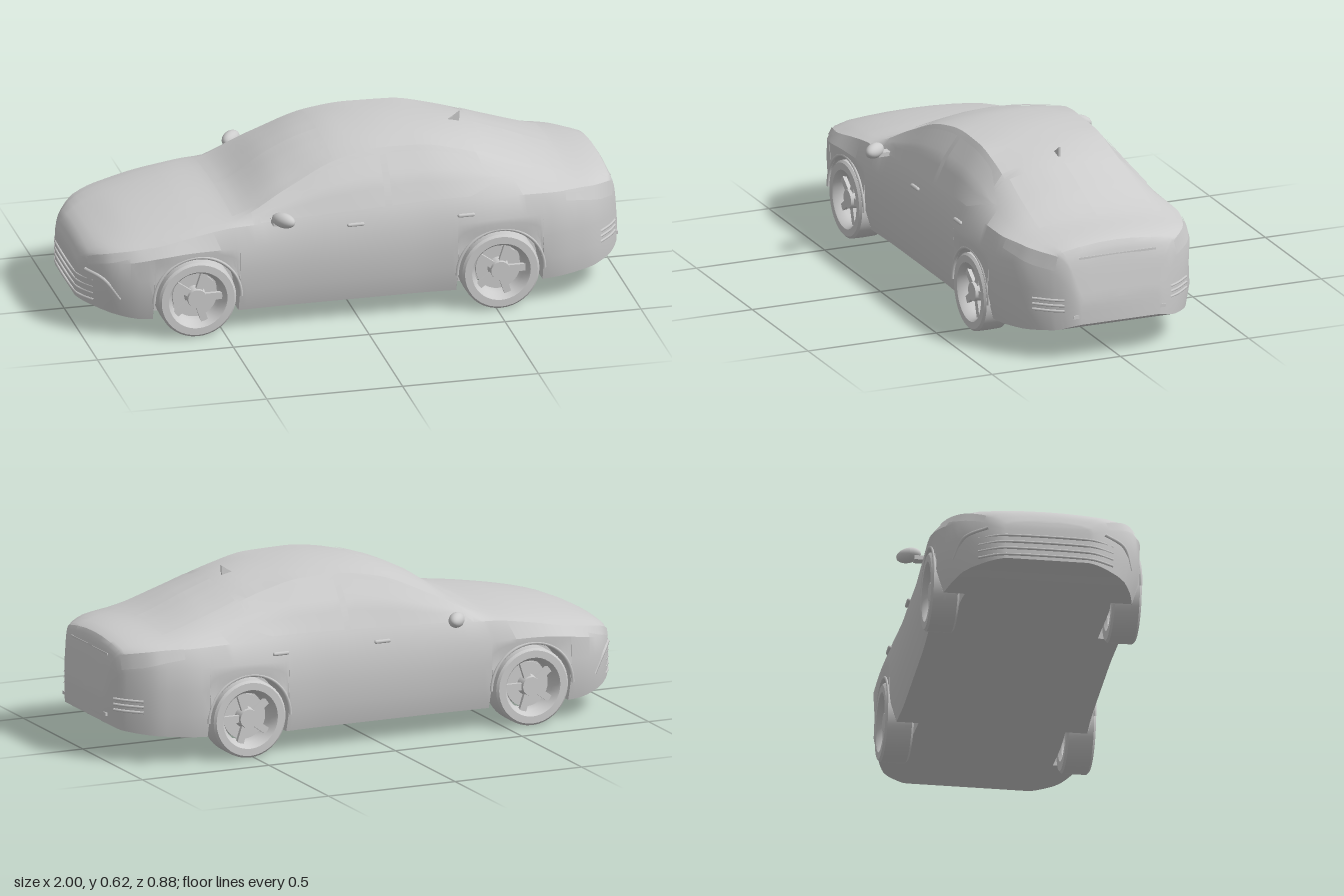
import * as THREE from 'three';
import { toCreasedNormals } from 'three/addons/utils/BufferGeometryUtils.js';

const paint = new THREE.MeshStandardMaterial({ color: 0xcccccc });
paint.name = 'plain grey';

// Smooth curve through [x, value] pairs that never overshoots
function curve(...p) {
  const n = p.length, d = [], m = [];
  for (let i = 0; i < n - 1; i++) d.push((p[i + 1][1] - p[i][1]) / (p[i + 1][0] - p[i][0]));
  for (let i = 0; i < n; i++) {
    const a = d[Math.max(i - 1, 0)], b = d[Math.min(i, n - 2)];
    m.push(a * b <= 0 ? 0 : (2 * a * b) / (a + b));
  }
  return (x) => {
    x = Math.min(Math.max(x, p[0][0]), p[n - 1][0]);
    let i = 0;
    while (i < n - 2 && x > p[i + 1][0]) i++;
    const h = p[i + 1][0] - p[i][0], t = (x - p[i][0]) / h, u = 1 - t;
    return p[i][1] * (1 + 2 * t) * u * u + m[i] * h * t * u * u
      + p[i + 1][1] * t * t * (3 - 2 * t) - m[i + 1] * h * t * t * u;
  };
}

// Lengthwise body lines; the nose points along -x
const top = curve([-1, .25], [-.985, .285], [-.96, .315], [-.9, .342], [-.8, .375], [-.6, .408], [-.47, .42], [-.42, .432],
  [-.25, .535], [-.125, .587], [0, .613], [.14, .62], [.33, .605], [.435, .588], [.6, .535], [.78, .467], [.95, .432],
  [.965, .412], [.975, .375], [.99, .28], [1, .205]);
const roofY = curve([-1, .245], [-.97, .295], [-.9, .33], [-.75, .365], [-.6, .388], [-.45, .408], [-.25, .5], [-.05, .582],
  [.1, .603], [.25, .6], [.4, .568], [.6, .5], [.78, .445], [.95, .41], [.975, .368], [.99, .275], [1, .203]);
const roofZ = curve([-1, .11], [-.97, .18], [-.9, .235], [-.75, .27], [-.5, .3], [-.4, .3], [-.25, .278], [-.05, .245],
  [.15, .225], [.4, .225], [.6, .235], [.8, .24], [.95, .21], [.99, .15], [1, .11]);
const beltY = curve([-1, .235], [-.97, .28], [-.9, .315], [-.75, .345], [-.6, .375], [-.45, .395], [0, .405], [.5, .42],
  [.8, .415], [.95, .395], [.975, .36], [.99, .27], [1, .2]);
const beltF = curve([-1, .95], [-.9, .93], [-.6, .92], [0, .935], [.5, .92], [.8, .92], [1, .95]);
const shoulderY = curve([-1, .22], [-.97, .25], [-.9, .28], [-.6, .325], [0, .325], [.5, .345], [.8, .35], [.95, .33], [.985, .26], [1, .19]);
const halfW = curve([-1, .14], [-.99, .18], [-.95, .25], [-.9, .31], [-.8, .36], [-.68, .379], [-.5, .374], [-.2, .366],
  [.2, .366], [.5, .379], [.7, .376], [.85, .335], [.93, .27], [.97, .215], [.99, .175], [1, .14]);
const sillY = curve([-1, .11], [-.95, .1], [-.78, .07], [-.45, .075], [.4, .075], [.7, .092], [.95, .115], [1, .14]);
const tuck = curve([.07, .92], [.1, .95], [.15, .985], [.2, 1], [.26, .988], [.33, 1], [.4, .99]);

const axles = [-.6, .516], axleY = .143, archR = .157;
function lowerEdge(x) {
  for (const c of axles) {
    const d = archR ** 2 - (x - c) ** 2;
    if (d >= 0) return axleY + Math.sqrt(d);
  }
  return sillY(x);
}

// Half cross-section as [y, z], floor centre to roof centre
function section(x) {
  const w = halfW(x), f = sillY(x), e = lowerEdge(x), s = shoulderY(x), inner = .71 * w;
  const out = [[f, 0], [f, inner], [e, inner]];
  for (let i = 0; i < 4; i++) {
    const y = e + (s - e) * i / 3;
    out.push([y, w * tuck(y)]);
  }
  const by = beltY(x), bz = w * beltF(x), ry = roofY(x), rz = roofZ(x);
  out.push([by, bz], [(by + ry) / 2, (bz + rz) / 2 + .07 * (ry - by)], [ry, rz]);
  for (const u of [.67, .33, 0]) out.push([ry + (top(x) - ry) * (1 - u * u), rz * u]);
  return out;
}

function indexed(pos, idx) {
  const g = new THREE.BufferGeometry();
  g.setAttribute('position', new THREE.Float32BufferAttribute(pos, 3));
  g.setIndex(idx);
  return toCreasedNormals(g, .5);
}

function bodyGeometry() {
  const xs = [-.997, -.993, -.985, -.975, .955, .965, .97, .975, .98, .985, .99, .993, .997];
  for (let i = 0; i <= 63; i++) xs.push(-.96 + i * 1.905 / 63);
  for (const c of axles) {
    for (let i = 0; i <= 16; i++) xs.push(c - archR * .9999 * Math.cos(Math.PI * i / 16));
    xs.push(c - archR - .0005, c + archR + .0005);
  }
  xs.sort((a, b) => a - b);
  const pos = [], idx = [], n = 12, ring = 24;
  for (const x of xs) {
    const h = section(x);
    for (let j = 0; j < ring; j++) {
      const [y, z] = h[j <= n ? j : ring - j];
      pos.push(x, y, j <= n ? z : -z);
    }
  }
  for (let i = 0; i < xs.length - 1; i++) for (let j = 0; j < ring; j++) {
    const a = i * ring + j, c = i * ring + (j + 1) % ring;
    idx.push(a, a + ring, c, a + ring, c + ring, c);
  }
  // Nose and tail caps
  const last = (xs.length - 1) * ring;
  for (let j = 0; j < n; j++) {
    const m = (ring - j) % ring, k = ring - j - 1;
    if (j) idx.push(0 + j, j + 1, m), idx.push(last + j, last + m, last + j + 1);
    if (j < n - 1) idx.push(j + 1, k, m), idx.push(last + j + 1, last + m, last + k);
  }
  return indexed(pos, idx);
}

// Point on the body skin; v counts section points
function skin(x, v) {
  const h = section(x), i = Math.min(Math.floor(v), 11), t = v - i;
  return new THREE.Vector3(x, h[i][0] + (h[i + 1][0] - h[i][0]) * t, h[i][1] + (h[i + 1][1] - h[i][1]) * t);
}

// Thin plate lying just above the skin between x0..x1 and rows lo..hi
function plateGeometry(x0, x1, lo, hi, side, lift = .004) {
  const pos = [], idx = [], nx = 14, nv = 8;
  for (let i = 0; i <= nx; i++) for (let j = 0; j <= nv; j++) {
    const x = x0 + (x1 - x0) * i / nx, v = lo(x) + (hi(x) - lo(x)) * j / nv;
    const p = skin(x, v), e = .004;
    const dx = skin(x + e, v).sub(skin(x - e, v));
    const dv = skin(x, Math.min(v + .1, 12)).sub(skin(x, v - .1));
    p.addScaledVector(dx.cross(dv).normalize(), lift);
    pos.push(p.x, p.y, p.z * side);
  }
  for (let i = 0; i < nx; i++) for (let j = 0; j < nv; j++) {
    const a = i * (nv + 1) + j, b = a + nv + 1;
    if (side > 0) idx.push(a, b, a + 1, b, b + 1, a + 1);
    else idx.push(a, a + 1, b, b, a + 1, b + 1);
  }
  return indexed(pos, idx);
}

export function createModel() {
  const car = new THREE.Group();
  const add = (name, geo, parent = car, x = 0, y = 0, z = 0) => {
    const m = new THREE.Mesh(geo, paint);
    m.name = name;
    m.position.set(x, y, z);
    parent.add(m);
    return m;
  };
  add('body', bodyGeometry());

  // Glass, lamps, mirrors, handles and arch lips on both sides
  const k = (c) => () => c, ramp = (x, a, b) => Math.min(Math.max((x - a) / (b - a), 0), 1);
  for (const s of [1, -1]) {
    const plate = (name, a, b, lo, hi) => add(name, plateGeometry(a, b, lo, hi, s));
    plate('frontSideWindow', -.36, .1, k(7.12), k(8.8));
    plate('rearSideWindow', .125, .57, (x) => 7.12 + ramp(x, .42, .57), (x) => 8.8 - .66 * ramp(x, .4, .57));
    plate('windshield', -.45, -.07, k(9.2), k(12));
    plate('rearWindow', .5, .79, k(9.2), k(12));
    plate('headlight', -.965, -.76, (x) => 6.15 + .5 * ramp(x, -.9, -.76), k(7));
    plate('tailLight', .76, .955, (x) => 6.5 - .3 * ramp(x, .76, .9), k(7));
    add('bumperVent', new THREE.TubeGeometry(new THREE.CatmullRomCurve3([
      new THREE.Vector3(-.975, .235, s * .21), new THREE.Vector3(-.92, .215, s * .288), new THREE.Vector3(-.87, .15, s * .32)]), 12, .007, 6));
    for (const y of [.19, .21, .23]) add('rearReflector', new THREE.TubeGeometry(new THREE.CatmullRomCurve3(
      [.975, .95, .9].map((x) => new THREE.Vector3(x, y, s * halfW(x)))), 8, .005, 6));

    const shell = new THREE.SphereGeometry(1, 20, 14).scale(.032, .027, .042), p = shell.attributes.position;
    for (let i = 0; i < p.count; i++) p.setX(i, p.getX(i) + s * p.getZ(i) * .45);
    shell.computeVertexNormals();
    add('mirror', shell, car, -.29, .428, s * .397);
    add('mirrorStalk', new THREE.BoxGeometry(.035, .016, .05), car, -.305, .408, s * .355);
    for (const x of [-.015, .39]) add('doorHandle', new THREE.CapsuleGeometry(.007, .05, 4, 8).rotateZ(Math.PI / 2), car, x, .37, s * (halfW(x) * .965 + .006));
    for (const x of axles) add('archLip', new THREE.TorusGeometry(archR + .004, .006, 6, 28, Math.PI), car, x, axleY, s * .373);

    // Wheels
    const tyre = new THREE.LatheGeometry([[.1, -.052], [.134, -.052], [.142, -.044], [.143, 0], [.142, .044], [.134, .052],
      [.108, .052], [.103, .046], [.09, .02], [.09, -.04], [.1, -.052]].map((q) => new THREE.Vector2(...q)), 40);
    for (const x of axles) {
      const wheel = new THREE.Group();
      wheel.name = 'wheel';
      wheel.position.set(x, axleY, s * .328);
      wheel.rotation.x = s * Math.PI / 2;
      car.add(wheel);
      add('tyre', toCreasedNormals(tyre, .5), wheel);
      add('brakeDisc', new THREE.CylinderGeometry(.082, .082, .012, 32), wheel, 0, -.005, 0);
      add('hub', new THREE.CylinderGeometry(.034, .04, .045, 24), wheel, 0, .018, 0);
      for (let i = 0; i < 5; i++) {
        const a = i * Math.PI * 2 / 5;
        add('spoke', new THREE.BoxGeometry(.075, .014, .026), wheel, Math.cos(a) * .06, .022, Math.sin(a) * .06).rotation.y = -a;
      }
    }
  }

  // Grille bars and front lip across the nose
  for (const y of [.125, .15, .175, .2]) {
    const pts = [-.95, -.985, -.995].map((x) => new THREE.Vector3(x, y, halfW(x) * .97));
    const path = [...pts, ...pts.slice().reverse().map((q) => new THREE.Vector3(q.x, q.y, -q.z))];
    add('grilleBar', new THREE.TubeGeometry(new THREE.CatmullRomCurve3(path), 24, .005, 6));
  }
  add('tailTrim', new THREE.BoxGeometry(.01, .012, .36), car, .99, .168, 0);
  add('bootLip', new THREE.BoxGeometry(.016, .008, .3), car, .966, .38, 0);

  // Roof fin
  const fin = new THREE.Shape([[.4, .585], [.43, .602], [.455, .62], [.452, .58]].map((q) => new THREE.Vector2(...q)));
  add('roofFin', new THREE.ExtrudeGeometry(fin, { depth: .008, bevelEnabled: false }), car, 0, 0, -.004);
  return car;
}
